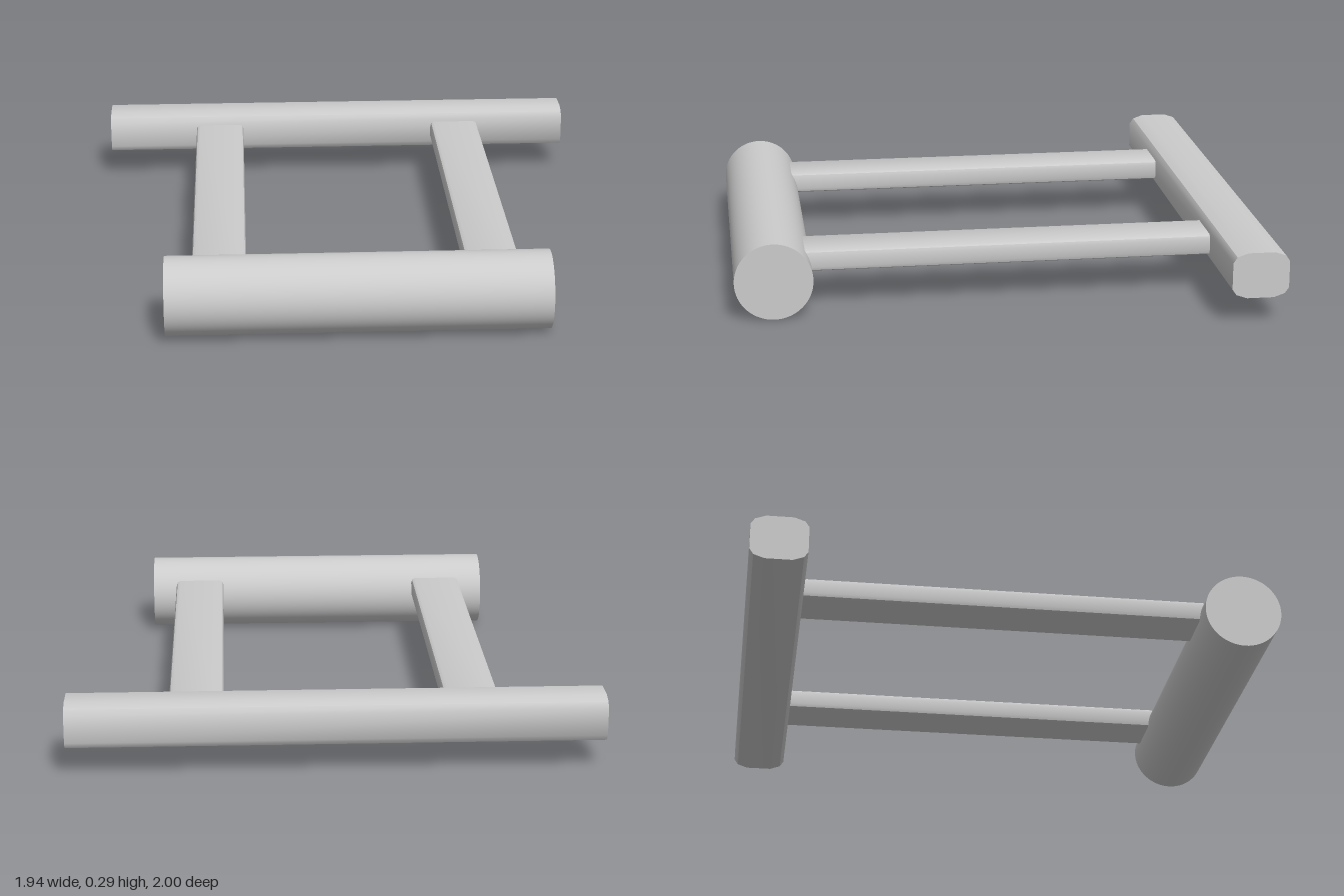
import * as THREE from 'three';
import { toCreasedNormals } from 'three/addons/utils/BufferGeometryUtils.js';

const material = new THREE.MeshStandardMaterial({ color: 0xcccccc });

// Beam along z, centred, from one quadrant of a symmetric section
function beamGeometry(quadrant, length) {
  const back = [...quadrant].reverse();
  const points = [
    ...quadrant.map(([x, y]) => new THREE.Vector2(x, y)),
    ...back.map(([x, y]) => new THREE.Vector2(-x, y)),
    ...quadrant.map(([x, y]) => new THREE.Vector2(-x, -y)),
    ...back.map(([x, y]) => new THREE.Vector2(x, -y)),
  ];
  const geometry = new THREE.ExtrudeGeometry(new THREE.Shape(points), { depth: length, bevelEnabled: false });
  geometry.translate(0, 0, -length / 2);
  return toCreasedNormals(geometry, THREE.MathUtils.degToRad(35));
}

export function createModel() {
  const model = new THREE.Group();
  model.name = 'frame';

  function add(name, geometry, x, y, z) {
    const mesh = new THREE.Mesh(geometry, material);
    mesh.name = name;
    mesh.position.set(x, y, z);
    model.add(mesh);
    return mesh;
  }

  // Round front roller
  const roller = add('frontRoller', new THREE.CylinderGeometry(0.145, 0.145, 1.4, 64), 0, 0.145, 0.855);
  roller.rotation.z = Math.PI / 2;

  // Wide back bar with softened corners
  const bar = add('backBar', beamGeometry([[0.105, 0.05], [0.09, 0.072], [0.05, 0.086]], 1.94), 0, 0.186, -0.895);
  bar.rotation.y = Math.PI / 2;

  // Flat side rails, their ends sunk into the roller and the bar
  const railGeometry = beamGeometry([[0.1, 0.022], [0.096, 0.034], [0.085, 0.04]], 1.67);
  for (const side of [1, -1]) {
    add(side > 0 ? 'leftRail' : 'rightRail', railGeometry, side * 0.503, 0.185, -0.045);
  }
  return model;
}
